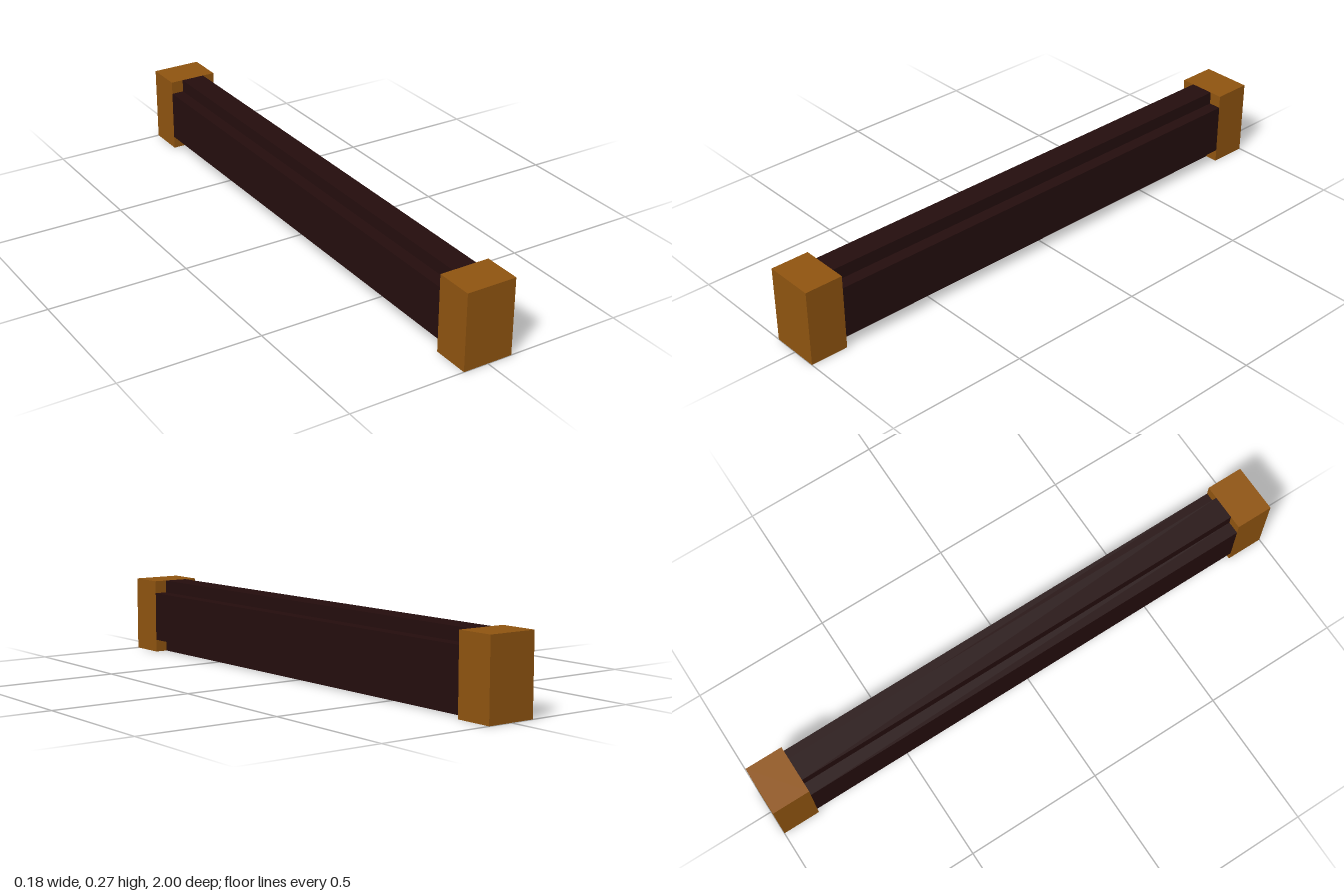
import * as THREE from 'three';

const WIDTH = 0.18, HEIGHT = 0.273, HALF_LENGTH = 1;
const CAP = 0.136;   // length of each end block
const NOTCH = 0.046; // square step cut along each long edge of the beam

export function createModel() {
  const model = new THREE.Group();
  model.name = 'beam';
  const darkWood = new THREE.MeshStandardMaterial({ color: 0x240d0d });
  const lightWood = new THREE.MeshStandardMaterial({ color: 0x8f5410 });

  // Long beam with a cross-shaped section
  const w = WIDTH / 2, h = HEIGHT / 2;
  const corners = [];
  for (const [sx, sy] of [[1, 1], [-1, 1], [-1, -1], [1, -1]]) {
    const step = [
      [w, h - NOTCH], [w - NOTCH, h - NOTCH], [w - NOTCH, h],
    ].map(([x, y]) => new THREE.Vector2(x * sx, y * sy));
    corners.push(...(sx * sy > 0 ? step : step.reverse()));
  }
  const length = 2 * (HALF_LENGTH - CAP);
  const shaftGeometry = new THREE.ExtrudeGeometry(new THREE.Shape(corners), {
    depth: length, bevelEnabled: false,
  });
  shaftGeometry.translate(0, h, -length / 2);
  const shaft = new THREE.Mesh(shaftGeometry, darkWood);
  shaft.name = 'shaft';
  model.add(shaft);

  // Square block at each end
  const capGeometry = new THREE.BoxGeometry(WIDTH, HEIGHT, CAP);
  for (const [name, side] of [['frontCap', 1], ['backCap', -1]]) {
    const cap = new THREE.Mesh(capGeometry, lightWood);
    cap.name = name;
    cap.position.set(0, h, side * (HALF_LENGTH - CAP / 2));
    model.add(cap);
  }
  return model;
}
